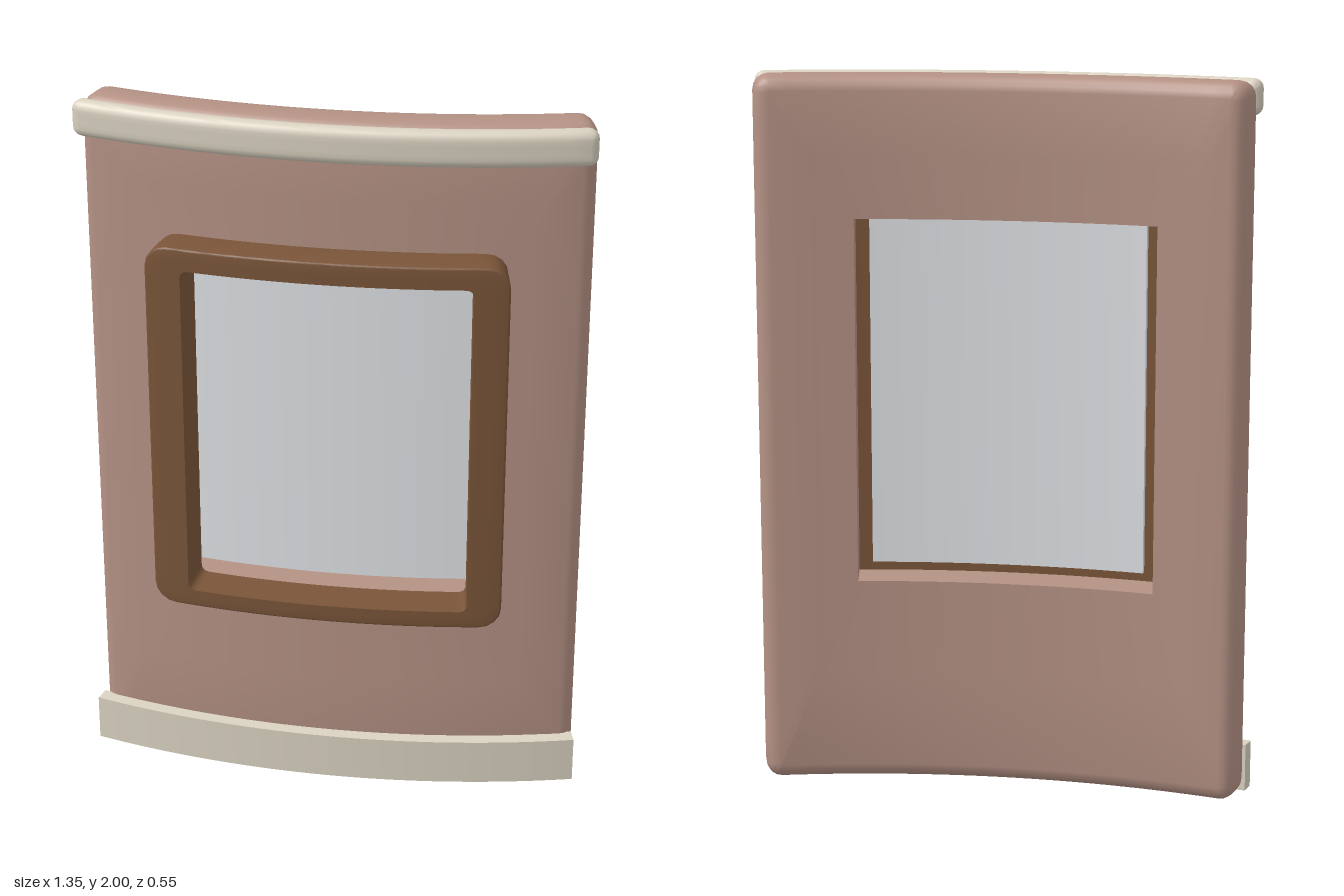
import * as THREE from 'three';
import { toCreasedNormals } from 'three/addons/utils/BufferGeometryUtils.js';

// All parts follow one cylinder: x runs along the arc, radius gives depth
const CX = -0.675, CZ = -2.44, R = 2.6;
const arc = (deg) => THREE.MathUtils.degToRad(deg) * R;

// Counter-clockwise rounded rectangle at a given radius, points [s, y, r]
function loop([s0, s1, y0, y1], corner, r, n = 28, nc = 4) {
  const c = corner;
  const centres = [[s1 - c, y0 + c], [s1 - c, y1 - c], [s0 + c, y1 - c], [s0 + c, y0 + c]];
  const at = (k, j) => {
    const a = ((k - 1) + j / nc) * Math.PI / 2;
    return [centres[k][0] + c * Math.cos(a), centres[k][1] + c * Math.sin(a), r];
  };
  const pts = [];
  for (let k = 0; k < 4; k++) {
    for (let j = 0; j <= nc; j++) pts.push(at(k, j));
    const a = at(k, nc), b = at((k + 1) % 4, 0);
    for (let j = 1; j < n; j++) pts.push(a.map((v, i) => v + (b[i] - v) * j / n));
  }
  return pts;
}

const inset = ([s0, s1, y0, y1], d) => [s0 + d, s1 - d, y0 + d, y1 - d];
const blend = (a, b, t) => a.map((p, i) => p.map((v, k) => v + (b[i][k] - v) * t));

// Curved slab with rounded edges and an optional rectangular hole
function curvedSlab({ deg, y, r, bevel = 0, corner = 0, hole, holeCorner = 0 }) {
  const rect = [arc(deg[0]), arc(deg[1]), y[0], y[1]];
  const [r0, r1] = r;
  const mid = (y[0] + y[1]) / 2;
  const inner = hole
    ? [arc(hole.deg[0]), arc(hole.deg[1]), hole.y[0], hole.y[1]]
    : [rect[0] + bevel, rect[1] - bevel, mid, mid];
  const innerFront = loop(inner, holeCorner, r1);
  const innerBack = loop(inner, holeCorner, r0);

  const rim = [];
  const steps = bevel ? 4 : 0;
  for (const side of [1, -1]) {
    for (let i = 0; i <= steps; i++) {
      const t = steps ? i / steps : 0;
      const a = (side > 0 ? t : 1 - t) * Math.PI / 2;
      const d = bevel * (1 - Math.sin(a));
      const depth = bevel * (1 - Math.cos(a));
      rim.push(loop(inset(rect, d), Math.max(corner - d, 0), side > 0 ? r1 - depth : r0 + depth));
    }
  }
  const last = rim[rim.length - 1];
  const loops = [innerFront, blend(innerFront, rim[0], 0.5), ...rim, blend(last, innerBack, 0.5), innerBack];
  if (hole) loops.push(innerFront);

  const pos = [], index = [], n = innerFront.length;
  for (const l of loops) {
    for (const [s, py, pr] of l) pos.push(CX + pr * Math.sin(s / R), py, CZ + pr * Math.cos(s / R));
  }
  for (let k = 0; k < loops.length - 1; k++) {
    for (let i = 0; i < n; i++) {
      const a = k * n + i, b = k * n + (i + 1) % n;
      index.push(a, a + n, b + n, a, b + n, b);
    }
  }
  const g = new THREE.BufferGeometry();
  g.setAttribute('position', new THREE.Float32BufferAttribute(pos, 3));
  g.setIndex(index);
  return toCreasedNormals(g, 0.55);
}

export function createModel() {
  const group = new THREE.Group();
  const material = (name, color) => {
    const m = new THREE.MeshStandardMaterial({ color });
    m.name = name;
    return m;
  };
  const clay = material('clay pink', 0xb59285);
  const cream = material('cream', 0xdad2c1);
  const wood = material('brown wood', 0x7a5539);
  const glass = material('pale grey glass', 0xe0e3e6);

  const add = (name, mat, spec) => {
    const mesh = new THREE.Mesh(curvedSlab(spec), mat);
    mesh.name = name;
    group.add(mesh);
  };

  // Wall panel with window opening
  add('wall', clay, {
    deg: [0, 30.65], y: [0, 2], r: [2.493, 2.622], bevel: 0.042, corner: 0.045,
    hole: { deg: [5.4, 24.55], y: [0.585, 1.61] },
  });
  // Rounded rail along the top and flat skirting along the bottom
  add('topRail', cream, { deg: [0, 30.45], y: [1.9, 2], r: [2.614, 2.668], bevel: 0.024, corner: 0.026 });
  add('skirting', cream, { deg: [0, 30.5], y: [0, 0.135], r: [2.615, 2.659] });
  // Window, with the pane set back inside the wall opening
  add('windowFrame', wood, {
    deg: [4.87, 25.62], y: [0.557, 1.647], r: [2.61, 2.72], bevel: 0.006, corner: 0.06,
    hole: { deg: [7, 23.6], y: [0.608, 1.585] }, holeCorner: 0.02,
  });
  add('windowPane', glass, { deg: [6.4, 23.65], y: [0.625, 1.605], r: [2.55, 2.566] });

  return group;
}
